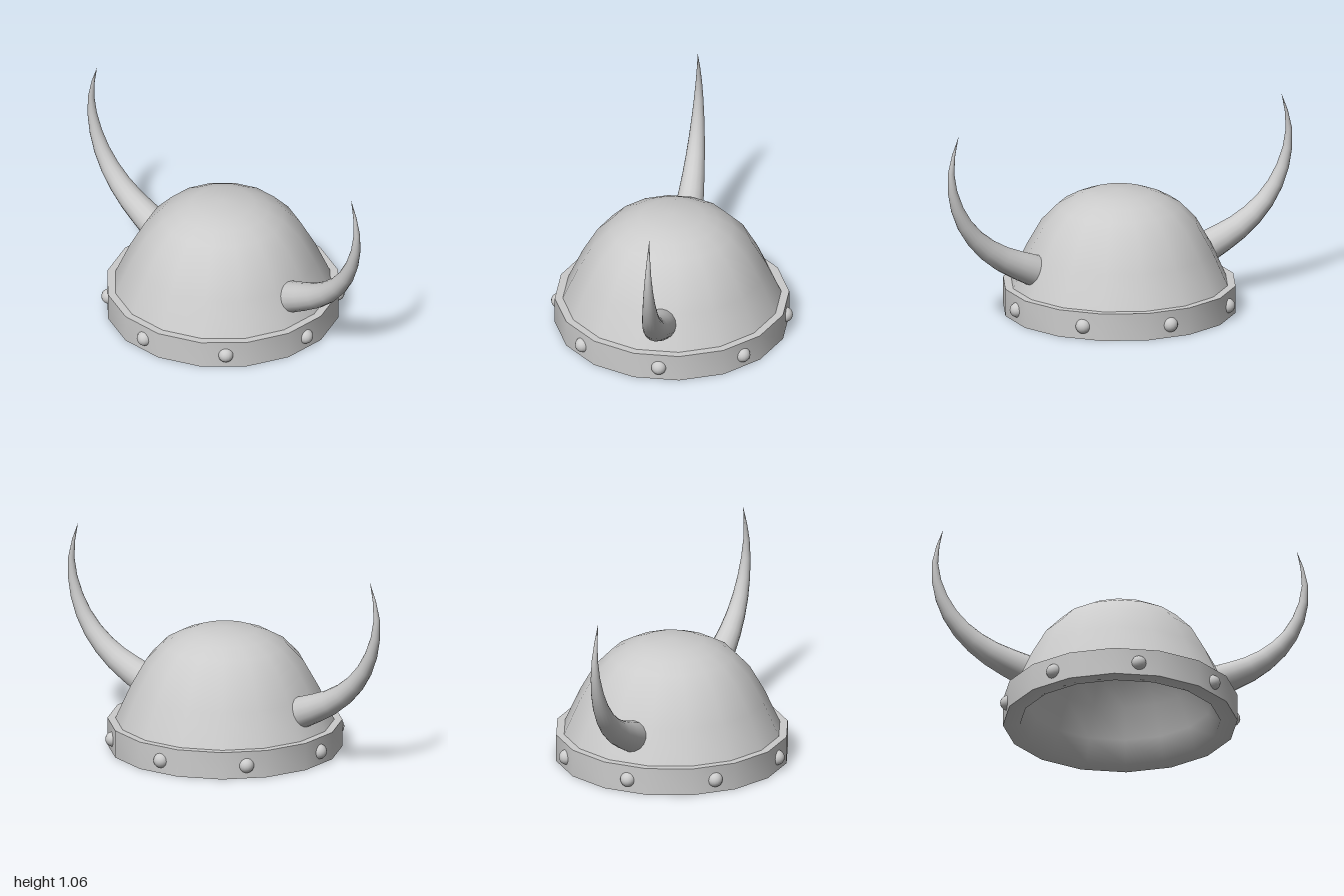
import * as THREE from 'three';
import { toCreasedNormals } from 'three/addons/utils/BufferGeometryUtils.js';

const SIDES = 16;
const material = new THREE.MeshStandardMaterial({ color: 0xcccccc, side: THREE.DoubleSide });

function part(geometry, name) {
  const mesh = new THREE.Mesh(geometry, material);
  mesh.name = name;
  return mesh;
}

// 16-sided turned shape with flat sides facing the axes
function turned(profile, name, crease = 0.65) {
  const points = profile.map(([r, y]) => new THREE.Vector2(r, y));
  const lathe = new THREE.LatheGeometry(points, SIDES, Math.PI / SIDES);
  return part(toCreasedNormals(lathe, crease), name);
}

// Horn curving out to +x and up, tapering evenly to a point
function makeHorn(name) {
  const path = new THREE.CatmullRomCurve3([
    [0.5, 0.272], [0.66, 0.345], [0.762, 0.412], [0.86, 0.508], [0.925, 0.612],
    [0.967, 0.73], [0.982, 0.85], [0.967, 0.96], [0.938, 1.06],
  ].map(([x, y]) => new THREE.Vector3(x, y, 0)));
  const rings = 10, sides = 16, baseRadius = 0.084;
  const tube = new THREE.TubeGeometry(path, rings, 1, sides);
  const pos = tube.attributes.position;
  const v = new THREE.Vector3();
  for (let i = 0; i < pos.count; i++) {
    const u = Math.floor(i / (sides + 1)) / rings;
    const centre = path.getPointAt(u);
    v.fromBufferAttribute(pos, i).sub(centre).multiplyScalar(baseRadius * (1 - u)).add(centre);
    pos.setXYZ(i, v.x, v.y, v.z);
  }
  const horn = new THREE.Group();
  horn.name = name;
  // Flat disc closing the root of the horn
  const root = part(new THREE.CircleGeometry(baseRadius, sides), 'hornRoot');
  root.position.copy(path.getPointAt(0));
  root.lookAt(root.position.clone().sub(path.getTangentAt(0)));
  horn.add(part(tube, 'hornCurve'), root);
  return horn;
}

export function createModel() {
  const helmet = new THREE.Group();
  helmet.name = 'hornedHelmet';

  // Outer skin of the dome
  helmet.add(turned([
    [0.575, 0.147], [0.495, 0.325], [0.413, 0.47], [0.325, 0.561],
    [0.245, 0.606], [0.168, 0.635], [0, 0.652],
  ], 'dome'));

  // Thick inner skin, running softly into the flat lip underneath
  helmet.add(turned([
    [0, 0.56], [0.142, 0.545], [0.207, 0.52], [0.273, 0.482], [0.345, 0.404],
    [0.415, 0.28], [0.488, 0.126], [0.527, 0.002], [0.617, 0],
  ], 'domeLining', 1.6));

  // Brow band around the lower edge, with a ledge on top
  helmet.add(turned([[0.617, 0], [0.617, 0.147], [0.575, 0.147]], 'browBand'));

  // Eight round studs on the band
  const studShape = new THREE.SphereGeometry(0.04, 16, 12);
  for (let i = 0; i < 8; i++) {
    const angle = i * Math.PI / 4 + 0.02;
    const stud = part(studShape, 'stud');
    stud.position.set(Math.sin(angle) * 0.599, 0.069, Math.cos(angle) * 0.599);
    helmet.add(stud);
  }

  // Mirrored pair of horns
  const leftHorn = makeHorn('leftHorn');
  const rightHorn = makeHorn('rightHorn');
  rightHorn.rotation.y = Math.PI;
  for (const horn of [leftHorn, rightHorn]) {
    horn.position.z = -0.008;
    helmet.add(horn);
  }
  return helmet;
}
